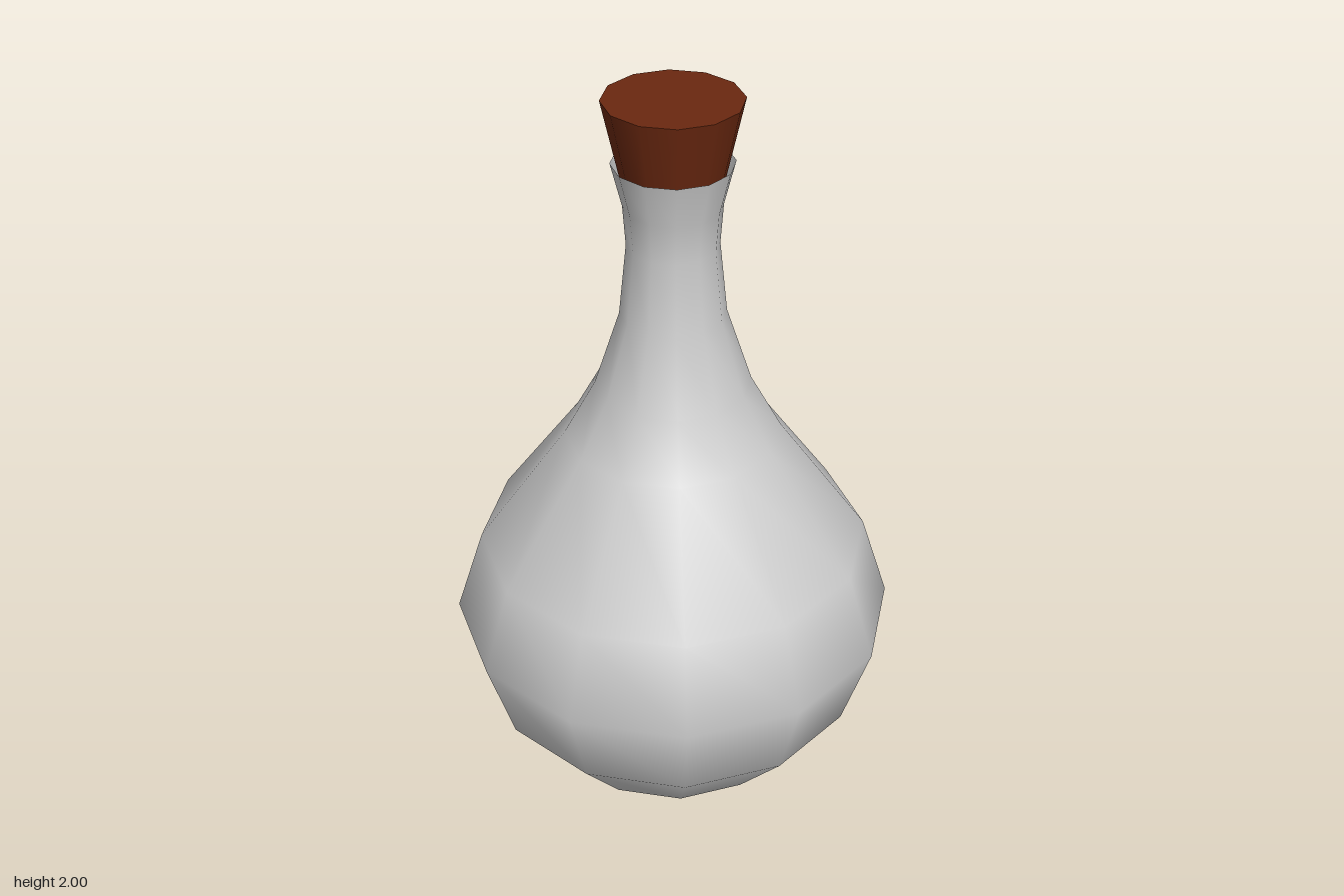
import * as THREE from 'three';

const SIDES = 12;

export function createModel() {
  const model = new THREE.Group();
  const glass = new THREE.MeshStandardMaterial({ color: 0xcccccc, side: THREE.DoubleSide });
  const corkMaterial = new THREE.MeshStandardMaterial({ color: 0x6a2810 });

  const add = (name, geometry, material, y = 0) => {
    const mesh = new THREE.Mesh(geometry, material);
    mesh.name = name;
    mesh.position.y = y;
    model.add(mesh);
    return mesh;
  };

  // Bottle wall, open at the flared lip: [radius, height] from the base up
  const profile = [
    [0.35, 0], [0.532, 0.21], [0.613, 0.46], [0.537, 0.7], [0.295, 1.035],
    [0.21, 1.19], [0.142, 1.4], [0.122, 1.6], [0.13, 1.71], [0.16, 1.83],
  ].map(([r, y]) => new THREE.Vector2(r, y));
  add('bottle', new THREE.LatheGeometry(profile, SIDES), glass);

  // Flat base, facing down
  add('base', new THREE.CircleGeometry(0.35, SIDES).rotateX(Math.PI / 2), glass);

  // Tapered stopper, its lower end inside the neck
  const bottom = 1.7, top = 2;
  add('cork', new THREE.CylinderGeometry(0.183, 0.116, top - bottom, SIDES), corkMaterial, (top + bottom) / 2);

  return model;
}
